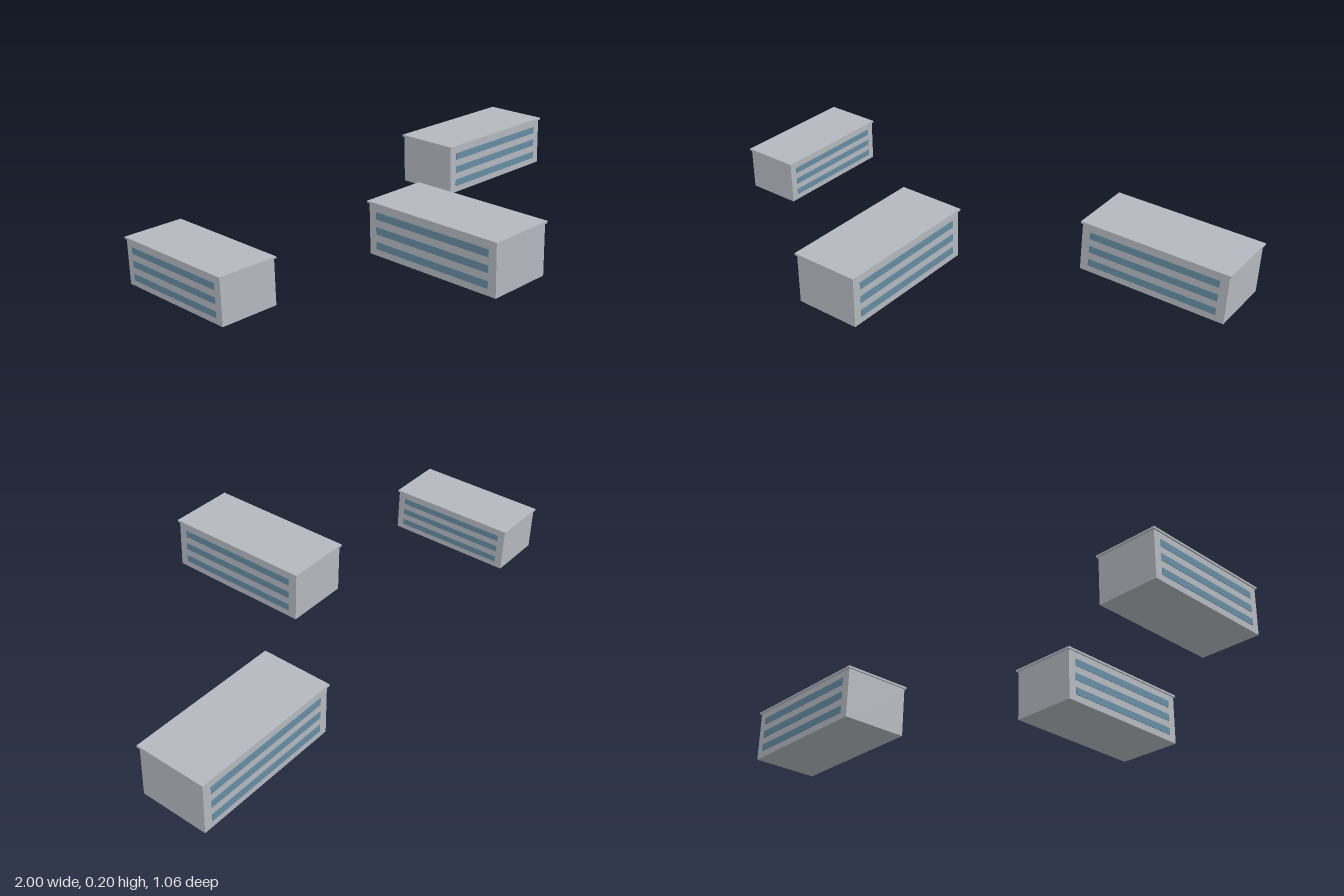
import * as THREE from 'three';

const concrete = new THREE.MeshStandardMaterial({ name: 'pale grey concrete', color: 0xb4b9bf });
const glass = new THREE.MeshStandardMaterial({ name: 'blue window glass', color: 0x668ca2 });

// Full-size block dimensions
const LENGTH = 0.582, DEPTH = 0.258, WALL_H = 0.194;
const ROOF_H = 0.008, OVERHANG = 0.006;
const STRIP_L = 0.516, STRIP_H = 0.028, STRIP_OUT = 0.002;

function addBox(parent, name, material, size, position) {
  const mesh = new THREE.Mesh(new THREE.BoxGeometry(...size), material);
  mesh.name = name;
  mesh.position.set(...position);
  parent.add(mesh);
}

// One office block, long side along x, with window bands on both long faces
function createBlock(name) {
  const block = new THREE.Group();
  block.name = name;
  addBox(block, 'walls', concrete, [LENGTH, WALL_H, DEPTH], [0, WALL_H / 2, 0]);
  addBox(block, 'roofSlab', concrete,
    [LENGTH + 2 * OVERHANG, ROOF_H, DEPTH + 2 * OVERHANG], [0, WALL_H + ROOF_H / 2, 0]);
  for (const side of [1, -1]) {
    for (let floor = 0; floor < 3; floor++) {
      addBox(block, 'windowBand', glass, [STRIP_L, STRIP_H, STRIP_OUT * 2],
        [0, 0.04 + floor * 0.0567, side * DEPTH / 2]);
    }
  }
  return block;
}

export function createModel() {
  const model = new THREE.Group();
  model.name = 'officeBlocks';
  // name, x, z, turn about y, scale
  const layout = [
    ['leftBlock', 0.703, -0.393, 0, 1],
    ['middleBlock', -0.129, 0.234, Math.PI / 2, 1],
    ['rightBlock', -0.885, -0.219, Math.PI / 2, 0.85],
  ];
  for (const [name, x, z, turn, scale] of layout) {
    const block = createBlock(name);
    block.position.set(x, 0, z);
    block.rotation.y = turn;
    block.scale.setScalar(scale);
    model.add(block);
  }
  return model;
}
